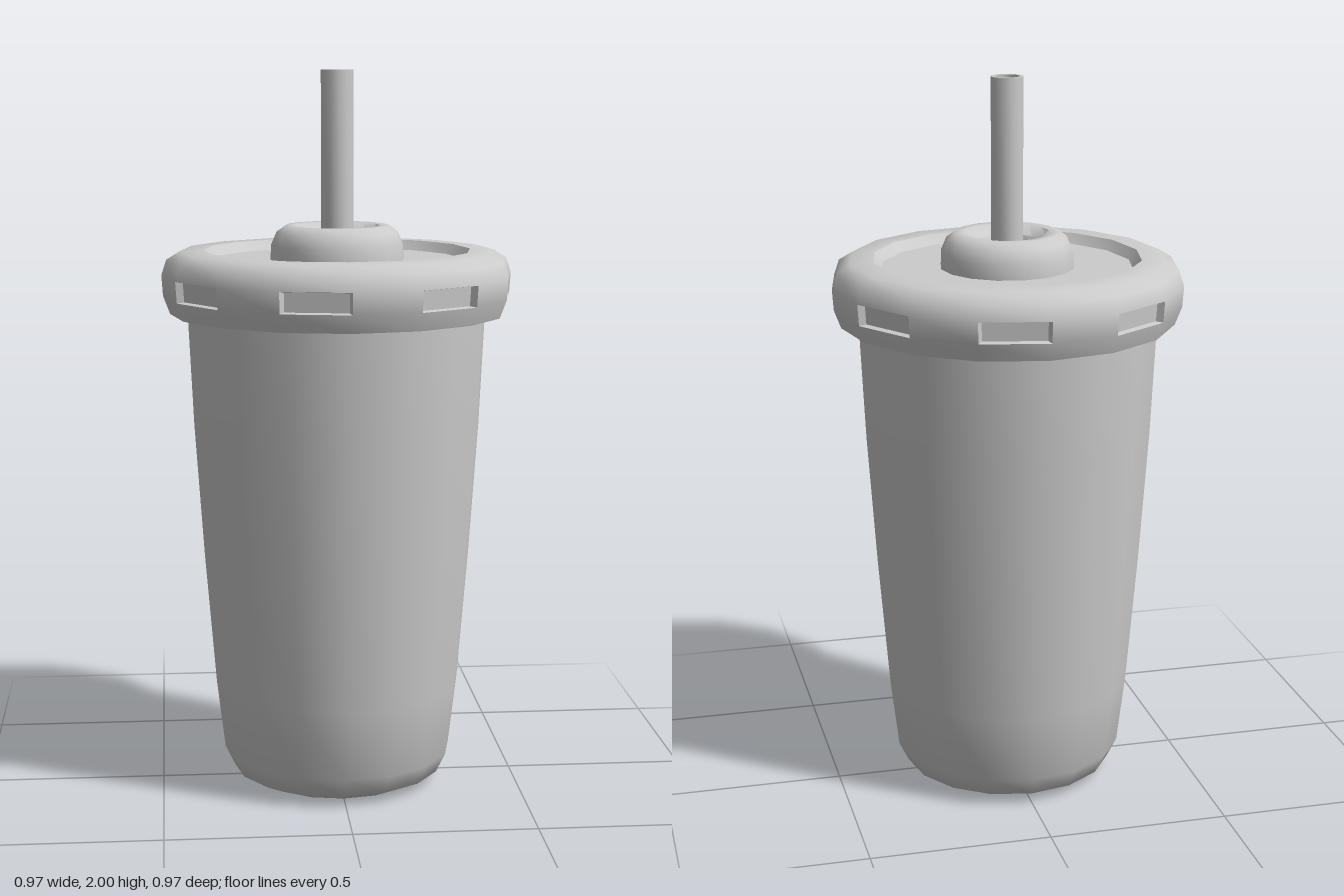
import * as THREE from 'three';
import { toCreasedNormals } from 'three/addons/utils/BufferGeometryUtils.js';

const SIDES = 16;
const CREASE = 0.75;

// Surface of revolution from [radius, y] points, smooth with sharp corners kept
function lathe(points, sides = SIDES, crease = CREASE) {
  const g = new THREE.LatheGeometry(points.map(p => new THREE.Vector2(p[0], p[1])), sides);
  return toCreasedNormals(g, crease);
}

// Stacked rings; each row maps an angle to [radius, y]. A row pair can be replaced per facet.
function rings(rows, custom) {
  const pos = [];
  const quad = (a, b, c, d) => [a, b, d, b, c, d].forEach(v => pos.push(v.x, v.y, v.z));
  const at = (row, i) => {
    const t = ((i % SIDES) / SIDES) * Math.PI * 2;
    const [r, y] = typeof row === 'function' ? row(t) : row;
    return new THREE.Vector3(r * Math.sin(t), y, r * Math.cos(t));
  };
  for (let j = 0; j < rows.length - 1; j++) {
    for (let i = 0; i < SIDES; i++) {
      const c = [at(rows[j], i), at(rows[j], i + 1), at(rows[j + 1], i + 1), at(rows[j + 1], i)];
      if (custom && custom(i, j, c, quad)) continue;
      quad(...c);
    }
  }
  const g = new THREE.BufferGeometry();
  g.setAttribute('position', new THREE.Float32BufferAttribute(pos, 3));
  return toCreasedNormals(g, CREASE);
}

export function createModel() {
  const group = new THREE.Group();
  const grey = new THREE.MeshStandardMaterial({ color: 0xcccccc });
  grey.name = 'grey';
  const add = (name, geometry) => {
    const m = new THREE.Mesh(geometry, grey);
    m.name = name;
    group.add(m);
  };

  // Tapered cup with a rounded foot
  add('cup', lathe([
    [0, 0], [0.235, 0.002], [0.295, 0.03], [0.322, 0.085], [0.345, 0.28],
    [0.375, 0.65], [0.4, 1.02], [0.415, 1.34], [0.417, 1.46], [0, 1.465],
  ]));

  // Lid rim: every other facet of the grip band has a recessed grip
  const bandRow = 3;
  const rim = [
    [0.43, 1.47], [0.44, 1.335], [0.463, 1.335], [0.482, 1.385], [0.486, 1.443],
    [0.472, 1.485], [0.435, 1.508], [0.37, 1.51], [0.348, 1.483],
  ];
  add('lidRim', rings(rim, (i, j, c, quad) => {
    if (j !== bandRow || i % 2 === 0) return false;
    const mid = c.reduce((s, v) => s.add(v), new THREE.Vector3()).multiplyScalar(0.25);
    const push = new THREE.Vector3(mid.x, 0, mid.z).normalize().multiplyScalar(-0.018);
    const inner = c.map(v => v.clone().lerp(mid, 0.1).add(push));
    quad(...inner);
    for (let k = 0; k < 4; k++) {
      const n = (k + 1) % 4;
      quad(c[k], c[n], inner[n], inner[k]);
    }
    return true;
  }));

  // Recessed lid top
  add('lidTop', lathe([[0.35, 1.483], [0, 1.483]]));

  // Domed collar whose opening narrows to a four-pointed star
  const star = (scale, y) => t =>
    [(0.095 * scale) / (Math.abs(Math.cos(t)) + Math.abs(Math.sin(t))), y];
  add('strawCollar', rings([
    [0.185, 1.48], [0.183, 1.525], [0.168, 1.56], [0.143, 1.578], [0.118, 1.577],
    star(1.15, 1.556), star(1, 1.525), star(1, 1.482),
  ]));

  // Hollow straw
  add('straw', lathe([
    [0.045, 1.44], [0.045, 2], [0.035, 2], [0.035, 1.44],
  ], 12));

  return group;
}
